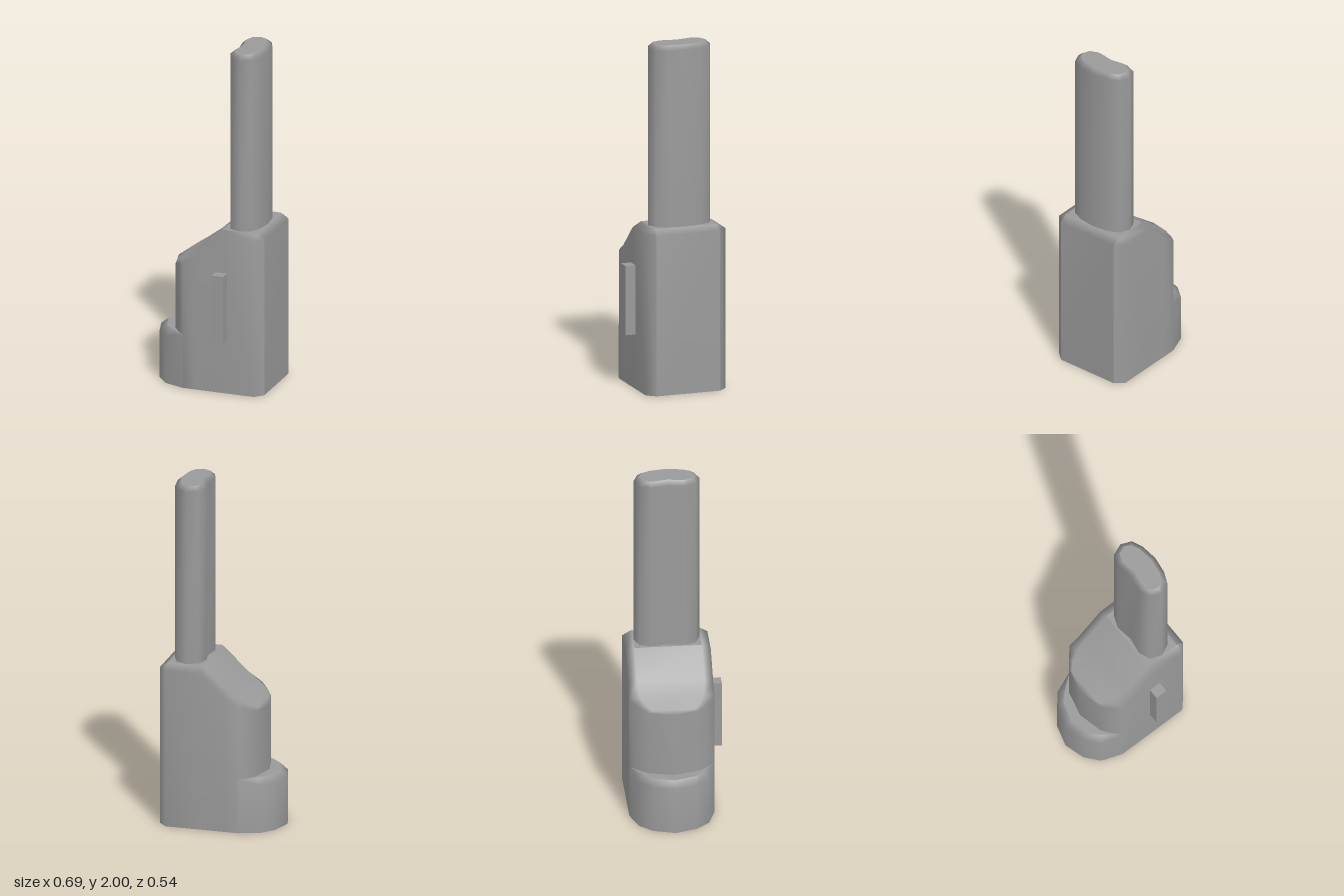
import * as THREE from 'three';
import { mergeGeometries, mergeVertices } from 'three/addons/utils/BufferGeometryUtils.js';

const MID = -0.03; // z of the symmetry plane
const GREY = 0x9a9a9a;

// Smooth surface over rows of points; separate surfaces meet in sharp edges.
function surface(rows, skip = () => false) {
  const pos = [];
  for (let i = 0; i < rows.length - 1; i++) {
    for (let j = 0; j < rows[0].length - 1; j++) {
      if (skip(i, j)) continue;
      const [a, b] = [rows[i], rows[i + 1]];
      [a[j], a[j + 1], b[j + 1], a[j], b[j + 1], b[j]].forEach((p) => pos.push(...p));
    }
  }
  const geometry = new THREE.BufferGeometry();
  geometry.setAttribute('position', new THREE.Float32BufferAttribute(pos, 3));
  const welded = mergeVertices(geometry);
  welded.computeVertexNormals();
  return welded;
}

// Horizontal ring from a half outline of [x, half depth, own height], mirrored in z.
function flatRing(half, y) {
  const back = half.map(([x, d, h = y]) => [x, h, MID - d]);
  const front = half.filter(([, d]) => d > 0).reverse().map(([x, d, h = y]) => [x, h, MID + d]);
  return [...back, ...front];
}

const closed = (ring) => [...ring, ring[0]];

// Flat fill of a ring, facing up or down.
function fill(ring, up) {
  const centre = [0, 1, 2].map((k) => ring.reduce((s, p) => s + p[k], 0) / ring.length);
  const loop = closed(ring);
  const hub = loop.map(() => centre);
  return surface(up ? [loop, hub] : [hub, loop]);
}

function makeMesh(name, geometry) {
  const mesh = new THREE.Mesh(geometry, new THREE.MeshStandardMaterial({ color: GREY }));
  mesh.name = name;
  return mesh;
}

export function createModel() {
  const model = new THREE.Group();
  model.name = 'building';

  // Main hall: sections along x of [x, half depth, top half depth, eaves y, top y]
  const sections = [
    [-0.24, 0, 0, 0.7, 0.7],
    [-0.205, 0.143, 0.12, 0.7, 0.715],
    [-0.17, 0.19, 0.155, 0.72, 0.737],
    [-0.125, 0.24, 0.18, 0.742, 0.765],
    [-0.05, 0.24, 0.19, 0.79, 0.82],
    [0.095, 0.24, 0.19, 0.925, 0.955],
    [0.3, 0.24, 0.19, 0.925, 0.955],
    [0.345, 0.19, 0.19, 0.925, 0.925],
  ];
  const hallRows = sections.map(([x, w, t, eaves, top]) => [
    [x, 0, MID - w], [x, eaves, MID - w], [x, top, MID - t],
    [x, top, MID + t], [x, eaves, MID + w], [x, 0, MID + w],
  ]);
  const acrossHall = ([x, y]) => [[x, y, MID - 0.19], [x, y, MID + 0.19]];
  model.add(makeMesh('mainBody', mergeGeometries([
    surface(hallRows, (i, j) => i >= 5 && j === 2), // walls, eaves and sloping roof
    surface([[0.095, 0.955], [0.3, 0.955]].map(acrossHall)), // flat roof
    surface([[0.3, 0.955], [0.345, 0.925], [0.345, 0]].map(acrossHall)), // end wall
    fill(flatRing([...sections].reverse(), 0).map(([x, , z]) => [x, 0, z]), false),
  ])));

  // Low rounded apse whose bevelled rim tapers out at the hall walls
  const apse = [[-0.125, 0.24], [-0.245, 0.197], [-0.31, 0.12], [-0.345, 0]];
  const apseEdge = [[-0.125, 0.24, 0.315], ...apse.slice(1)];
  const apseTop = [[-0.125, 0.24], [-0.22, 0.165], [-0.265, 0.12], [-0.302, 0]];
  const ledge = flatRing(apseTop, 0.315);
  model.add(makeMesh('apse', mergeGeometries([
    surface([flatRing(apse, 0), flatRing(apseEdge, 0.28), ledge]),
    fill(ledge, true),
    fill(flatRing(apse, 0), false),
  ])));

  // Tall kidney-shaped chimney with a bevelled top
  const stack = [[0.298, 0], [0.285, 0.095], [0.257, 0.16], [0.195, 0.186],
    [0.13, 0.16], [0.105, 0.095], [0.12, 0]];
  const stackTop = [[0.27, 0], [0.257, 0.09], [0.235, 0.138], [0.195, 0.157],
    [0.15, 0.138], [0.133, 0.09], [0.148, 0]];
  const rim = flatRing(stackTop, 2);
  model.add(makeMesh('chimney', mergeGeometries([
    surface([flatRing(stack, 0.95), flatRing(stack, 1.975), rim].map(closed)),
    fill(rim, true),
  ])));

  // Upright bar on the front wall
  const bar = makeMesh('frontBar', new THREE.BoxGeometry(0.07, 0.4, 0.08));
  bar.position.set(0.105, 0.515, 0.23);
  model.add(bar);

  return model;
}
